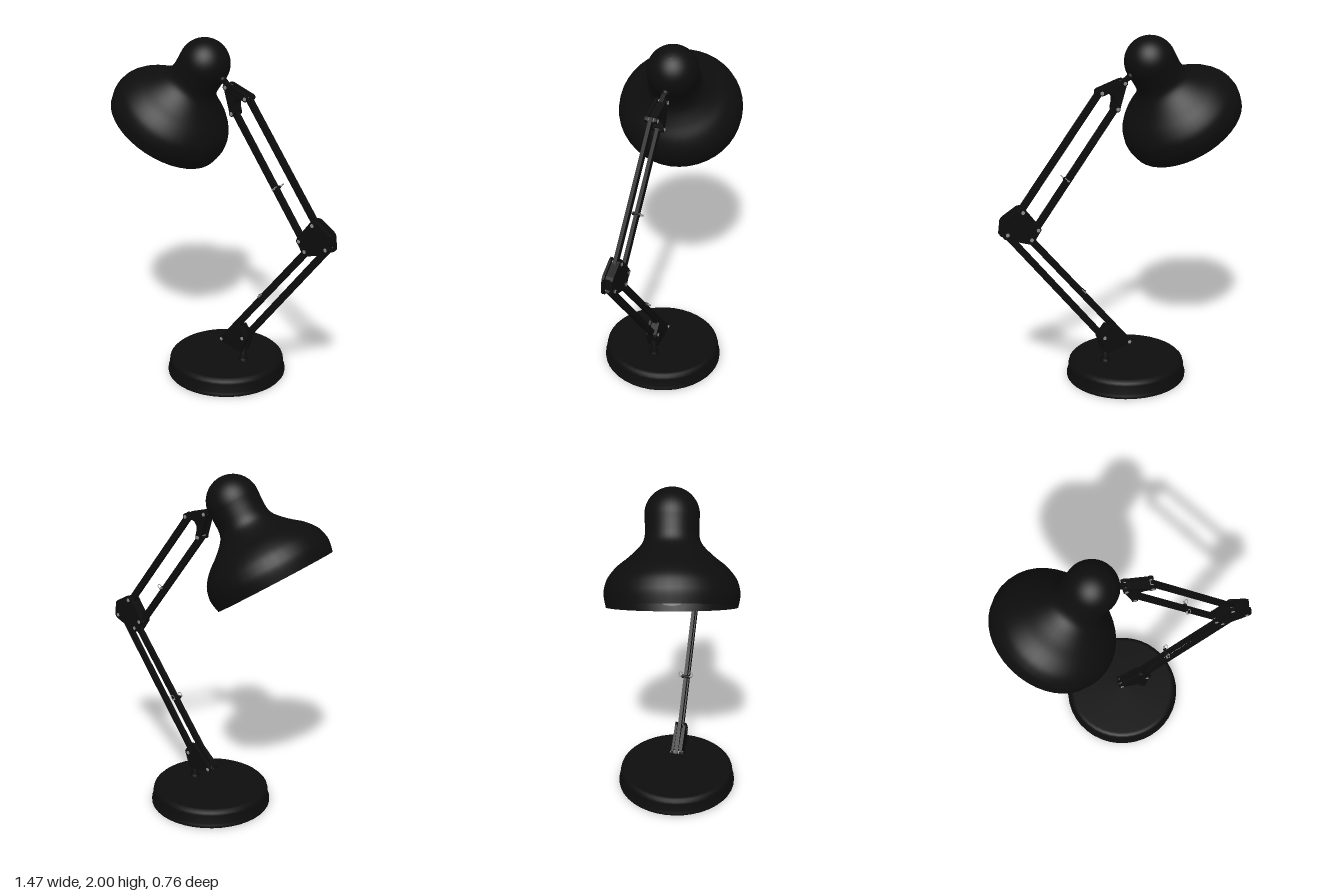
import * as THREE from 'three';

const ARM_Z = -0.033; // plane that the arms move in

export function createModel() {
  const black = new THREE.MeshStandardMaterial({ color: 0x0d0d0d });
  black.name = 'black enamel';
  const shell = new THREE.MeshStandardMaterial({ color: 0x0d0d0d, side: THREE.DoubleSide });
  shell.name = 'black enamel shell';
  const steel = new THREE.MeshStandardMaterial({ color: 0x8c8c8c });
  steel.name = 'steel';
  const glass = new THREE.MeshStandardMaterial({ color: 0xd8d8d8 });
  glass.name = 'bulb glass';

  const model = new THREE.Group();
  model.name = 'deskLamp';
  const V2 = (a) => new THREE.Vector2(a[0], a[1]);

  function add(name, geometry, material, x = 0, y = 0, z = 0, parent = model) {
    const mesh = new THREE.Mesh(geometry, material);
    mesh.name = name;
    mesh.position.set(x, y, z);
    parent.add(mesh);
    return mesh;
  }

  // Bar between two points of the arm plane
  function bar(name, a, b, width = 0.038, depth = 0.02) {
    const dx = b[0] - a[0], dy = b[1] - a[1];
    const geometry = new THREE.BoxGeometry(Math.hypot(dx, dy) + 0.02, width, depth);
    const mesh = add(name, geometry, black, (a[0] + b[0]) / 2, (a[1] + b[1]) / 2, ARM_Z);
    mesh.rotation.z = Math.atan2(dy, dx);
  }

  // Hinge: two side plates with a smaller core between them, and a bolt at each pivot
  function bracket(name, outline, pivots) {
    const shape = new THREE.Shape(outline.map(V2));
    for (const side of [-1, 1]) {
      const plate = new THREE.ExtrudeGeometry(shape, { depth: 0.014, bevelEnabled: false });
      add(name + 'Plate', plate, black, 0, 0, ARM_Z + side * 0.025 - 0.007);
    }
    const n = outline.length;
    const cx = outline.reduce((s, p) => s + p[0], 0) / n;
    const cy = outline.reduce((s, p) => s + p[1], 0) / n;
    const small = outline.map(([x, y]) => V2([cx + (x - cx) * 0.82, cy + (y - cy) * 0.82]));
    const core = new THREE.ExtrudeGeometry(new THREE.Shape(small), { depth: 0.04, bevelEnabled: false });
    add(name + 'Core', core, black, 0, 0, ARM_Z - 0.02);
    for (const [x, y] of pivots) {
      add(name + 'Bolt', new THREE.CylinderGeometry(0.011, 0.011, 0.076, 12), steel, x, y, ARM_Z).rotation.x = Math.PI / 2;
      for (const side of [-1, 1]) {
        const washer = new THREE.CylinderGeometry(0.017, 0.017, 0.006, 14);
        add(name + 'Washer', washer, black, x, y, ARM_Z + side * 0.033).rotation.x = Math.PI / 2;
      }
    }
  }

  // Weighted round base
  const baseProfile = [[0, 0], [0.345, 0], [0.348, 0.004], [0.348, 0.02], [0.341, 0.026], [0.338, 0.075],
    [0.334, 0.09], [0.324, 0.1], [0.308, 0.105], [0, 0.108]].map(V2);
  add('base', new THREE.LatheGeometry(baseProfile, 40), black, -0.032, 0, -0.035);

  // Swivel post
  const postProfile = [[0, 0.1], [0.03, 0.1], [0.027, 0.118], [0.02, 0.125], [0.017, 0.2], [0, 0.2]].map(V2);
  add('post', new THREE.LatheGeometry(postProfile, 20), black, 0.1, 0, ARM_Z);

  // Pivot positions
  const low = [[-0.04, 0.21], [0.12, 0.265]];
  const elbow = [[0.56, 0.94], [0.7, 0.99], [0.52, 0.99], [0.608, 1.105]];
  const top = [[0.035, 1.615], [0.13, 1.715], [-0.01, 1.755]];

  // Hinge brackets
  bracket('lowerBracket', [[-0.058, 0.21], [-0.048, 0.196], [0.095, 0.168], [0.112, 0.17],
    [0.148, 0.265], [0.142, 0.28], [0.095, 0.335], [0.075, 0.33], [-0.053, 0.224]], low);
  bracket('elbowBracket', [[0.5, 0.988], [0.545, 0.922], [0.562, 0.912], [0.715, 0.966], [0.73, 0.985],
    [0.72, 1.065], [0.705, 1.08], [0.622, 1.128], [0.6, 1.13], [0.505, 1.005]], elbow);

  // Upper bracket is forked, with a rounded hollow between its two pivots
  bracket('upperBracket', [[-0.028, 1.765], [-0.018, 1.775], [0.0, 1.774], [0.135, 1.733], [0.148, 1.718],
    [0.138, 1.7], [0.12, 1.698], [0.088, 1.708], [0.062, 1.7], [0.048, 1.68], [0.046, 1.655], [0.055, 1.62],
    [0.045, 1.602], [0.03, 1.6], [0.02, 1.61]], top);

  // Parallel arms
  bar('lowerArm', low[0], elbow[0]);
  bar('lowerArm', low[1], elbow[1]);
  bar('upperArm', elbow[2], top[0]);
  bar('upperArm', elbow[3], top[1]);

  // Spring pins with wire loops at both ends
  for (const [x, y] of [[0.24, 0.572], [0.335, 1.245]]) {
    add('springPin', new THREE.CylinderGeometry(0.005, 0.005, 0.08, 8), steel, x, y, ARM_Z).rotation.x = Math.PI / 2;
    add('pinCollar', new THREE.CylinderGeometry(0.01, 0.01, 0.045, 10), black, x, y, ARM_Z).rotation.x = Math.PI / 2;
    for (const side of [-1, 1]) {
      const loop = add('springLoop', new THREE.TorusGeometry(0.012, 0.002, 6, 16), steel,
        x + 0.01, y + 0.01, ARM_Z + side * 0.03);
      loop.rotation.set(Math.PI / 2, 0.9, 0);
    }
  }

  // Link between the upper bracket and the lamp head
  bar('headLink', [-0.09, 1.805], [-0.01, 1.755], 0.024, 0.024);
  add('headJoint', new THREE.SphereGeometry(0.022, 16, 12), black, -0.06, 1.785, ARM_Z);

  // Lamp head: local -y points out of the shade, origin at the dome centre
  const head = new THREE.Group();
  head.name = 'lampHead';
  head.position.set(-0.185, 1.855, -0.025);
  head.quaternion.setFromUnitVectors(new THREE.Vector3(0, 1, 0), new THREE.Vector3(0.265, 0.405, -0.05).normalize());
  model.add(head);

  const flare = new THREE.SplineCurve([[0.344, -0.485], [0.355, -0.43], [0.353, -0.39], [0.335, -0.335],
    [0.287, -0.275], [0.222, -0.222], [0.165, -0.165], [0.144, -0.12], [0.142, -0.06], [0.145, 0]].map(V2));
  const shadeProfile = flare.getPoints(36);
  for (let i = 1; i <= 12; i++) {
    const a = (i / 12) * Math.PI / 2;
    shadeProfile.push(new THREE.Vector2(i === 12 ? 0 : 0.145 * Math.cos(a), 0.145 * Math.sin(a)));
  }
  add('shade', new THREE.LatheGeometry(shadeProfile, 40), shell, 0, 0, 0, head);

  // Socket and bulb inside the shade
  add('socket', new THREE.CylinderGeometry(0.06, 0.06, 0.28, 20), black, 0, -0.08, 0, head);
  const bulbProfile = [[0, -0.478], [0.04, -0.471], [0.08, -0.448], [0.108, -0.41], [0.117, -0.36],
    [0.104, -0.305], [0.07, -0.25], [0.05, -0.21], [0, -0.2]].map(V2);
  add('bulb', new THREE.LatheGeometry(bulbProfile, 28), glass, 0, 0, 0, head);

  return model;
}
